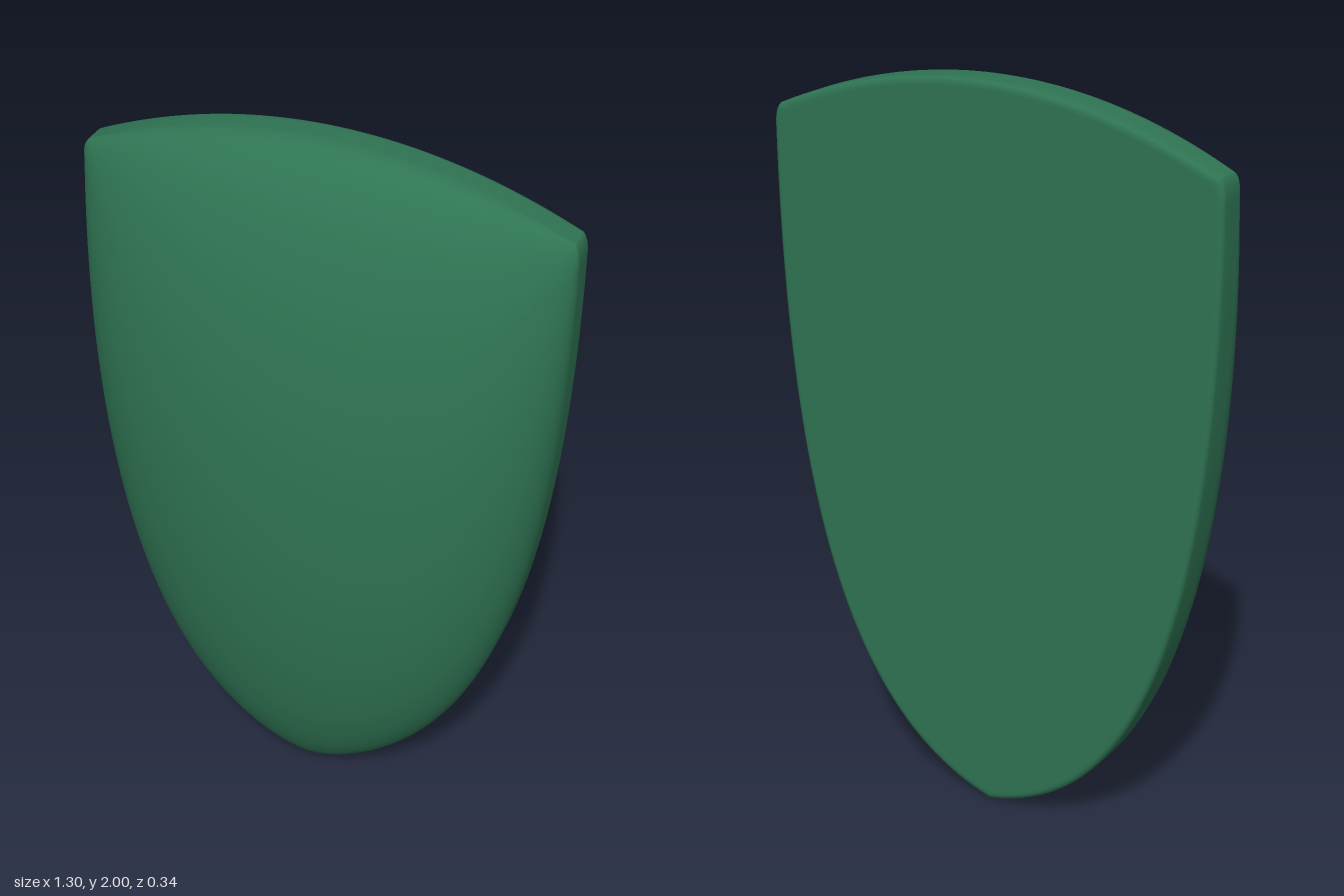
import * as THREE from 'three';
import { mergeVertices } from 'three/addons/utils/BufferGeometryUtils.js';

const CENTER_Y = 1.08, HALF_W = 0.65, SHOULDER_Y = 1.8;
const RIM_Z = -0.1, BACK_Z = -0.172, DOME = 0.272;

// Right-hand edge from the bottom tip up to the shoulder
const side = new THREE.CubicBezierCurve(
  new THREE.Vector2(0, 0), new THREE.Vector2(0.46, 0.11),
  new THREE.Vector2(0.665, 0.72), new THREE.Vector2(HALF_W, SHOULDER_Y));

// Closed outline, counter-clockwise from the tip, with softened top corners
function outlinePoints() {
  const top = new THREE.Path();
  top.moveTo(HALF_W, SHOULDER_Y);
  top.quadraticCurveTo(0.65, 1.845, 0.635, 1.86);
  top.quadraticCurveTo(0.32, 2.0, 0, 2.0);
  const half = [...side.getPoints(48), ...top.getPoints(24).slice(1)];
  const mirrored = half.slice(0, -1).reverse().map((p) => new THREE.Vector2(-p.x, p.y));
  return [...half, ...mirrored];
}

// Half width of the shield at height y
function halfWidth(y) {
  if (y >= SHOULDER_Y) return HALF_W;
  let lo = 0, hi = 1;
  for (let i = 0; i < 30; i++) {
    const mid = (lo + hi) / 2;
    if (side.getPoint(mid).y < y) lo = mid; else hi = mid;
  }
  return side.getPoint(hi).x;
}

// Front surface: elliptical both across the width and along the height
function domeZ(x, y) {
  const topY = 2 - 0.14 * (x / 0.635) ** 2;
  const u = x / Math.max(halfWidth(y), 1e-6);
  const v = (y - CENTER_Y) / (y > CENTER_Y ? topY - CENTER_Y : CENTER_Y);
  return RIM_Z + DOME * Math.sqrt(Math.max(0, 1 - u * u) * Math.max(0, 1 - v * v));
}

// Rings from the front centre over the rim to the back centre
function ringProfile() {
  const rings = [];
  const steps = 44;
  for (let i = 0; i < steps; i++) {
    rings.push({ scale: Math.sin((i / steps) * Math.PI / 2), z: domeZ });
  }
  const rim = [[1, RIM_Z], [1, -0.13], [1, BACK_Z + 0.014], [0.996, BACK_Z + 0.004],
    [0.985, BACK_Z], [0.975, BACK_Z], [0.5, BACK_Z], [0, BACK_Z]];
  for (const [scale, z] of rim) rings.push({ scale, z: () => z });
  return rings;
}

function shieldGeometry() {
  const outline = outlinePoints();
  const rings = ringProfile();
  const n = outline.length;
  const pos = [], index = [];
  rings.forEach(({ scale, z }, r) => {
    for (const p of outline) {
      const x = p.x * scale, y = CENTER_Y + (p.y - CENTER_Y) * scale;
      pos.push(x, y, z(x, y));
    }
    if (r === 0) return;
    for (let j = 0; j < n - 1; j++) {
      const a = (r - 1) * n + j, b = r * n + j;
      if (r > 1) index.push(a, b, a + 1);
      if (scale > 0) index.push(b, b + 1, a + 1);
    }
  });
  const geo = new THREE.BufferGeometry();
  geo.setAttribute('position', new THREE.Float32BufferAttribute(pos, 3));
  geo.setIndex(index);
  const welded = mergeVertices(geo, 1e-5);
  welded.computeVertexNormals();
  return welded;
}

export function createModel() {
  const group = new THREE.Group();
  group.name = 'shield';
  const material = new THREE.MeshStandardMaterial({ color: 0x2f7453 });
  const body = new THREE.Mesh(shieldGeometry(), material);
  body.name = 'shieldBody';
  group.add(body);
  return group;
}
